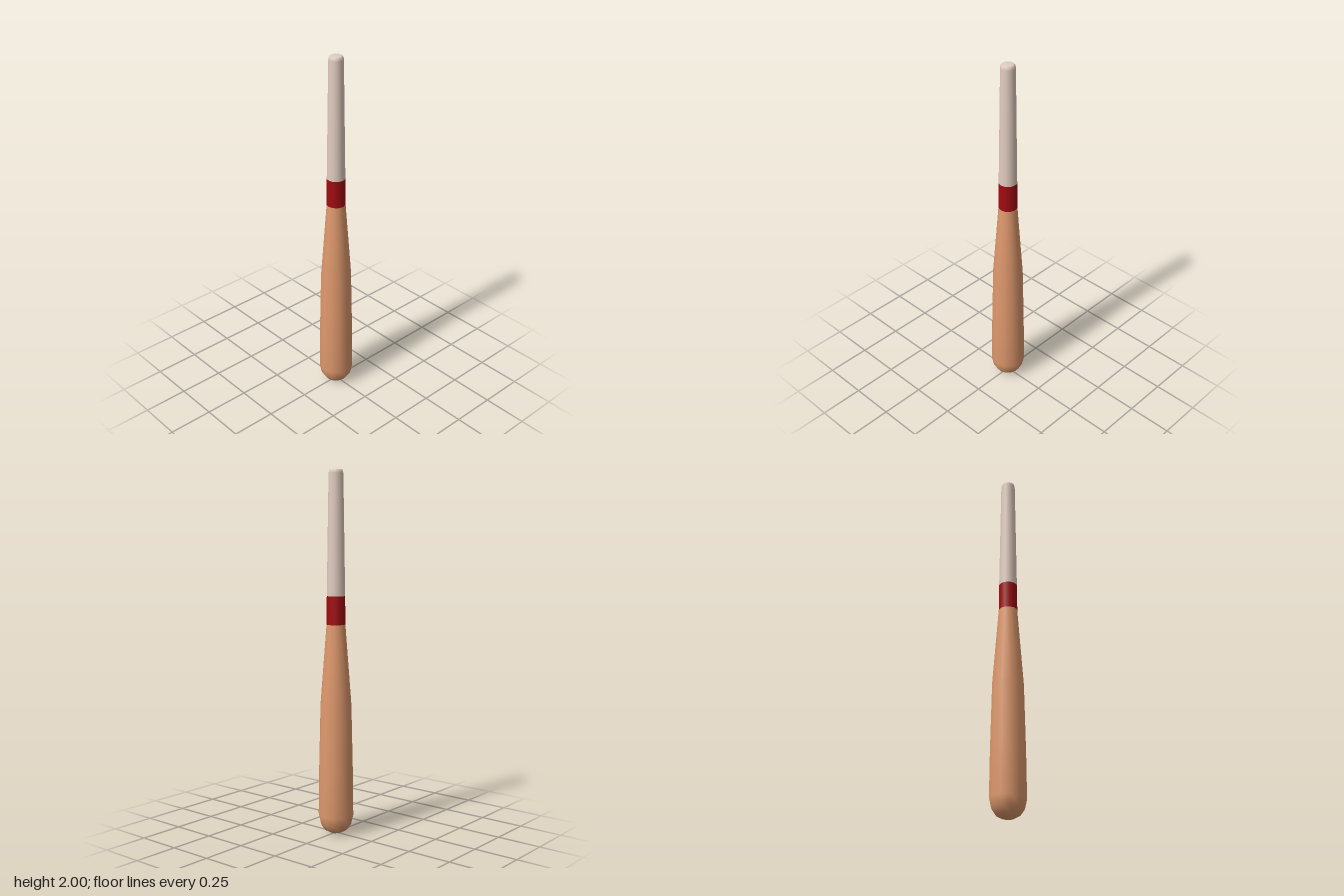
import * as THREE from 'three';

const SIDES = 12;

// One turned section of the bat, from [radius, height] pairs, bottom to top
function turned(name, profile, material) {
  const points = profile.map(([r, y]) => new THREE.Vector2(r, y));
  const mesh = new THREE.Mesh(new THREE.LatheGeometry(points, SIDES), material);
  mesh.name = name;
  return mesh;
}

function makeMaterial(name, color) {
  const material = new THREE.MeshStandardMaterial({ color });
  material.name = name;
  return material;
}

export function createModel() {
  const group = new THREE.Group();
  group.name = 'bat';

  const wood = makeMaterial('wood', 0xdf996d);
  const red = makeMaterial('red band', 0xa00c10);
  const wrap = makeMaterial('grip wrap', 0xe2cdc0);

  group.add(
    // Barrel with rounded end, narrowing towards the handle
    turned('barrel', [
      [0, 0], [0.035, 0.004], [0.064, 0.02], [0.086, 0.052], [0.098, 0.105],
      [0.095, 0.35], [0.086, 0.73], [0.052, 1.17],
    ], wood),
    // Coloured band between barrel and grip
    turned('band', [[0.052, 1.17], [0.0505, 1.325]], red),
    // Wrapped handle with a small bevel at the tip
    turned('grip', [
      [0.0505, 1.325], [0.04, 1.98], [0.036, 1.995], [0.03, 2], [0, 2],
    ], wrap),
  );
  return group;
}
